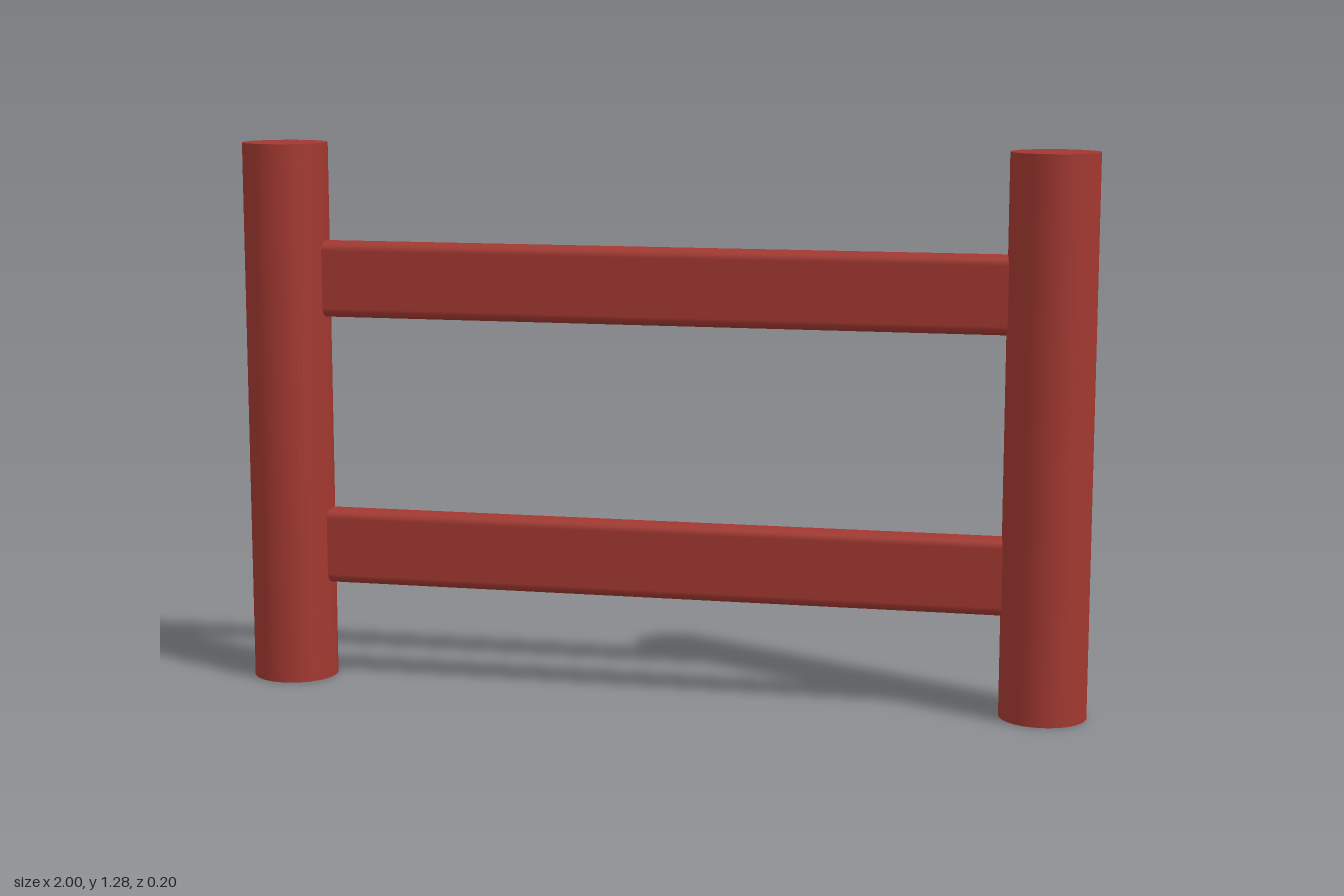
import * as THREE from 'three';
import { RoundedBoxGeometry } from 'three/addons/geometries/RoundedBoxGeometry.js';

export function createModel() {
  const group = new THREE.Group();
  group.name = 'fence';
  const redPaint = new THREE.MeshStandardMaterial({ color: 0xa23830 });
  redPaint.name = 'redPaint';

  const add = (name, geometry, x, y) => {
    const mesh = new THREE.Mesh(geometry, redPaint);
    mesh.name = name;
    mesh.position.set(x, y, 0);
    group.add(mesh);
  };

  // Round upright posts at each end
  const height = 1.285;
  const post = new THREE.CylinderGeometry(0.1, 0.1, height, 48);
  add('leftPost', post, 0.9, height / 2);
  add('rightPost', post, -0.9, height / 2);

  // Flat rails with rounded edges, ends buried in the posts
  const rail = new RoundedBoxGeometry(1.74, 0.18, 0.06, 5, 0.022);
  add('lowerRail', rail, 0, 0.323);
  add('upperRail', rail, 0, 0.965);

  return group;
}
